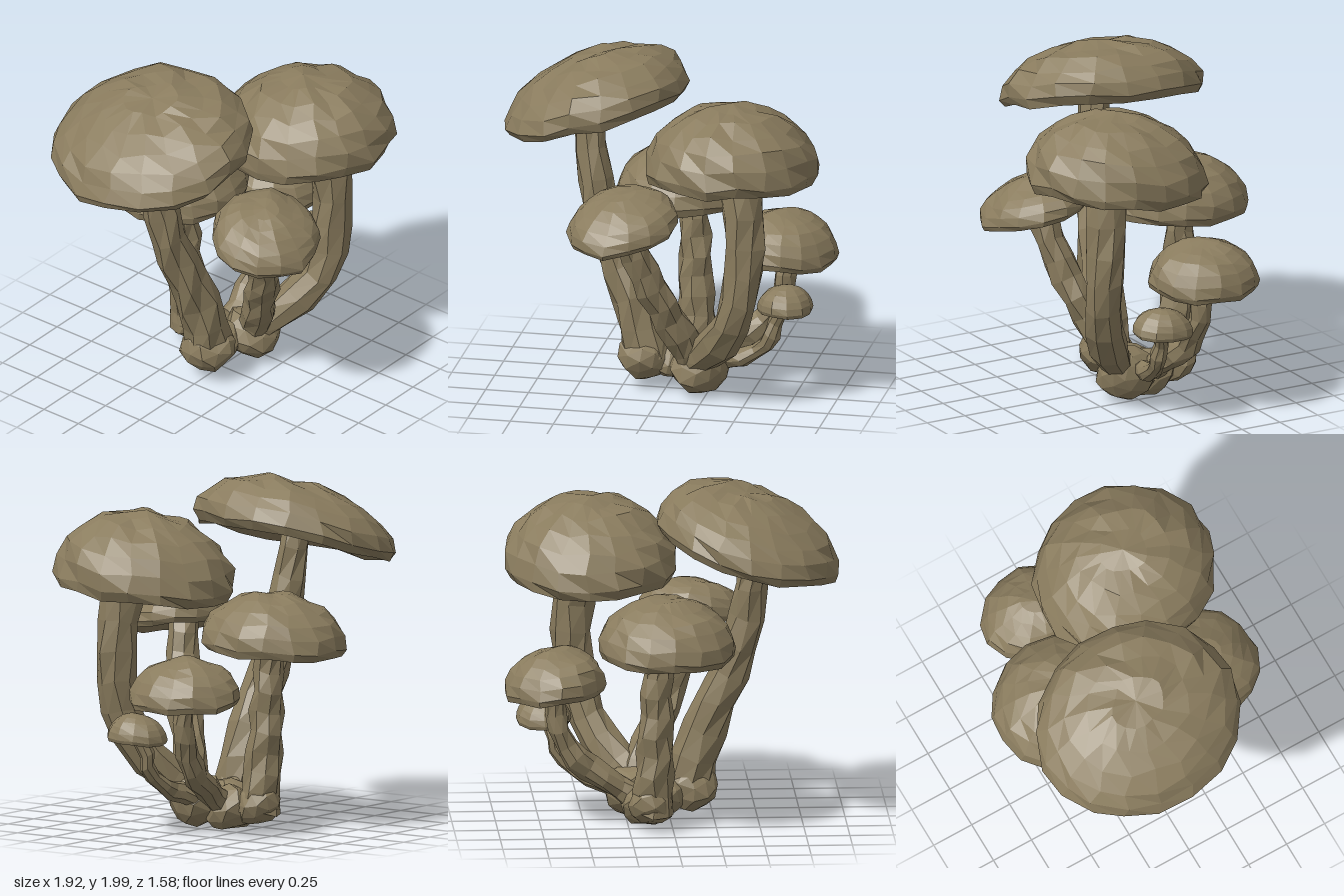
import * as THREE from 'three';

const skin = new THREE.MeshStandardMaterial({ color: 0x8a7c5e, flatShading: true });
skin.name = 'mushroom brown';

// Push vertices about by a smooth, repeatable rule for a hand-cut look
function roughen(geo, amount, seed) {
  const p = geo.attributes.position, v = new THREE.Vector3();
  for (let i = 0; i < p.count; i++) {
    v.fromBufferAttribute(p, i);
    const a = v.x * 17 + seed, b = v.y * 23 + seed * 2, c = v.z * 19 + seed * 3;
    p.setXYZ(i,
      v.x + amount * Math.sin(b + c * 1.3),
      v.y + amount * Math.sin(a * 1.2 + c),
      v.z + amount * Math.sin(a + b * 1.1));
  }
  geo.computeVertexNormals();
  return geo;
}

// Unit cap outline: a hollow parabola for the gills, then an elliptical dome
function capOutline() {
  const points = [];
  for (let i = 0; i <= 3; i++) {
    const r = 0.95 * i / 3;
    points.push(new THREE.Vector2(r, 0.3 * (1 - (i / 3) ** 2)));
  }
  for (let i = 0; i <= 6; i++) {
    const t = i / 6 * Math.PI / 2;
    points.push(new THREE.Vector2(i === 6 ? 0 : Math.cos(t), 0.13 + 0.87 * Math.sin(t)));
  }
  return points;
}

// Cap standing at its rim centre; size is x radius, height, z radius
function makeCap(at, size, slopeX, slopeZ, seed) {
  const sides = Math.round(8 + 19 * size[0]);
  const geo = new THREE.LatheGeometry(capOutline(), sides).rotateY(seed).scale(...size);
  const p = geo.attributes.position;
  for (let i = 0; i < p.count; i++) {
    p.setY(i, p.getY(i) + slopeX * p.getX(i) + slopeZ * p.getZ(i));
  }
  const mesh = new THREE.Mesh(roughen(geo, 0.026 * size[0], seed), skin);
  mesh.name = 'cap';
  mesh.position.set(...at);
  return mesh;
}

// Stem: a tube along a bent path, tapering from the base radius to the top radius
function makeStem(path, baseRadius, topRadius, seed) {
  const rings = 9, sides = 8;
  const curve = new THREE.CatmullRomCurve3(path.map(q => new THREE.Vector3(...q)));
  const geo = new THREE.TubeGeometry(curve, rings, 1, sides);
  const p = geo.attributes.position, v = new THREE.Vector3();
  for (let i = 0; i < p.count; i++) {
    const t = Math.floor(i / (sides + 1)) / rings;
    const centre = curve.getPointAt(t);
    v.fromBufferAttribute(p, i).sub(centre)
      .multiplyScalar(THREE.MathUtils.lerp(baseRadius, topRadius, t)).add(centre);
    p.setXYZ(i, v.x, v.y, v.z);
  }
  const mesh = new THREE.Mesh(roughen(geo, 0.011, seed), skin);
  mesh.name = 'stem';
  return mesh;
}

function makeLump(at, size, seed) {
  const geo = new THREE.IcosahedronGeometry(1, 1).scale(...size);
  const mesh = new THREE.Mesh(roughen(geo, 0.012, seed), skin);
  mesh.name = 'rootLump';
  mesh.position.set(...at);
  return mesh;
}

function makeGroup(name, ...parts) {
  const group = new THREE.Group();
  group.name = name;
  return group.add(...parts);
}

export function createModel() {
  const tall = makeGroup('tallMushroom',
    makeCap([-0.44, 1.6, -0.16], [0.52, 0.36, 0.61], 0.27, 0.08, 1),
    makeStem([[-0.11, 0.2, 0], [-0.16, 0.45, -0.01], [-0.4, 1.07, -0.08], [-0.5, 1.74, -0.14]],
      0.14, 0.08, 1),
    makeLump([-0.12, 0.2, 0], [0.16, 0.14, 0.16], 10));

  const broad = makeGroup('broadMushroom',
    makeCap([0.44, 1.39, 0.26], [0.5, 0.45, 0.53], 0.01, 0.1, 2),
    makeStem([[0.17, 0.2, 0.08], [0.43, 0.49, 0.32], [0.54, 0.95, 0.39], [0.5, 1.56, 0.34]],
      0.1, 0.125, 2));

  const front = makeGroup('frontMushroom',
    makeCap([-0.16, 1.09, 0.45], [0.32, 0.23, 0.31], 0.12, -0.2, 3),
    makeStem([[0.2, 0.2, 0.08], [-0.01, 0.7, 0.31], [-0.17, 1.16, 0.43]], 0.1, 0.088, 3));

  const back = makeGroup('backMushroom',
    makeCap([0.04, 1.04, -0.36], [0.4, 0.34, 0.43], 0.02, 0.04, 4),
    makeStem([[0.12, 0.12, -0.31], [0.1, 0.6, -0.35], [0.09, 1.16, -0.37]], 0.12, 0.075, 4),
    makeLump([0.12, 0.17, -0.31], [0.13, 0.13, 0.13], 11));

  const side = makeGroup('sideMushroom',
    makeCap([0.67, 0.79, -0.19], [0.29, 0.27, 0.33], -0.08, 0.01, 5),
    makeStem([[0.22, 0.17, -0.1], [0.59, 0.46, -0.16], [0.7, 0.88, -0.19]], 0.08, 0.055, 5));

  const small = makeGroup('smallMushroom',
    makeCap([0.72, 0.56, 0.11], [0.16, 0.16, 0.18], 0, 0.08, 6),
    makeStem([[0.25, 0.17, 0], [0.6, 0.34, 0.08], [0.71, 0.63, 0.1]], 0.065, 0.035, 6));

  // Root clump that the stems grow from
  const roots = makeGroup('rootClump',
    makeLump([0.21, 0.17, 0.06], [0.17, 0.15, 0.17], 7),
    makeLump([0.15, 0.13, -0.12], [0.14, 0.13, 0.17], 8),
    makeLump([0.03, 0.17, -0.05], [0.13, 0.11, 0.15], 9));

  return makeGroup('mushroomCluster', tall, broad, front, back, side, small, roots);
}
